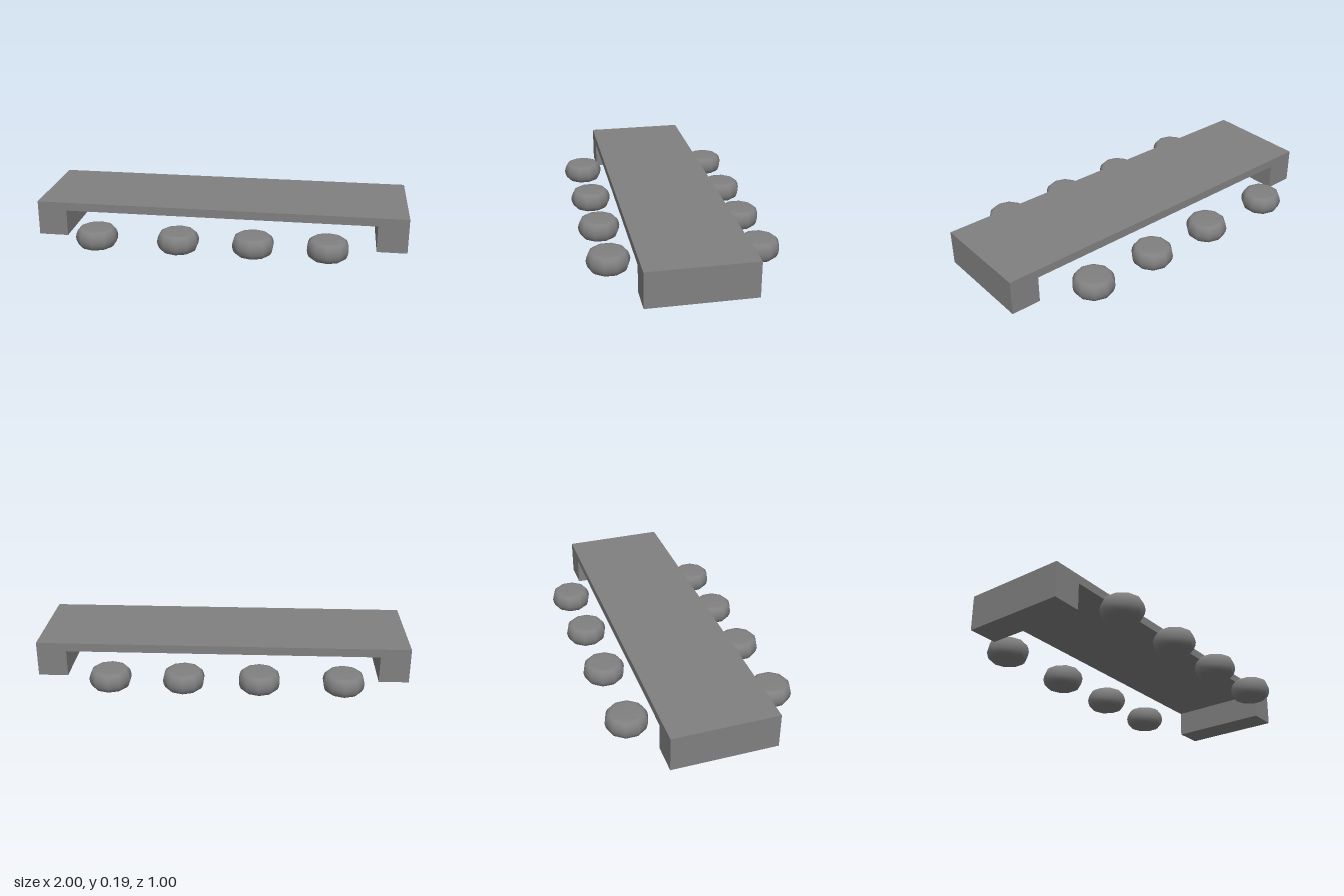
import * as THREE from 'three';

const material = new THREE.MeshStandardMaterial({ color: 0x808080 });

// Bridge-shaped low table: one outline swept along z
function makeTable() {
  const width = 2, height = 0.19, depth = 0.557, legWidth = 0.16, underside = 0.144;
  const outer = width / 2, inner = outer - legWidth;
  const outline = new THREE.Shape([
    [-outer, 0], [-inner, 0], [-inner, underside], [inner, underside],
    [inner, 0], [outer, 0], [outer, height], [-outer, height],
  ].map(([x, y]) => new THREE.Vector2(x, y)));
  const geometry = new THREE.ExtrudeGeometry(outline, { depth, bevelEnabled: false });
  geometry.translate(0, 0, -depth / 2);
  const table = new THREE.Mesh(geometry, material);
  table.name = 'table';
  return table;
}

// Ten-sided floor cushion with a softly bulging side
function makeCushionGeometry() {
  const profile = [
    [0, 0], [0.072, 0], [0.09, 0.004], [0.101, 0.014], [0.108, 0.031], [0.112, 0.052],
    [0.108, 0.073], [0.101, 0.09], [0.09, 0.1], [0.072, 0.104], [0, 0.104],
  ].map(([r, y]) => new THREE.Vector2(r, y));
  return new THREE.LatheGeometry(profile, 10);
}

export function createModel() {
  const model = new THREE.Group();
  model.name = 'lowTableWithCushions';
  model.add(makeTable());

  // Four cushions along each long side
  const cushionGeometry = makeCushionGeometry();
  for (const [side, z] of [['front', 0.387], ['back', -0.387]]) {
    const row = new THREE.Group();
    row.name = `${side}Cushions`;
    [-0.64, -0.2, 0.197, 0.585].forEach((x, i) => {
      const cushion = new THREE.Mesh(cushionGeometry, material);
      cushion.name = `${side}Cushion${i + 1}`;
      cushion.position.set(x, 0, z);
      row.add(cushion);
    });
    model.add(row);
  }
  return model;
}
